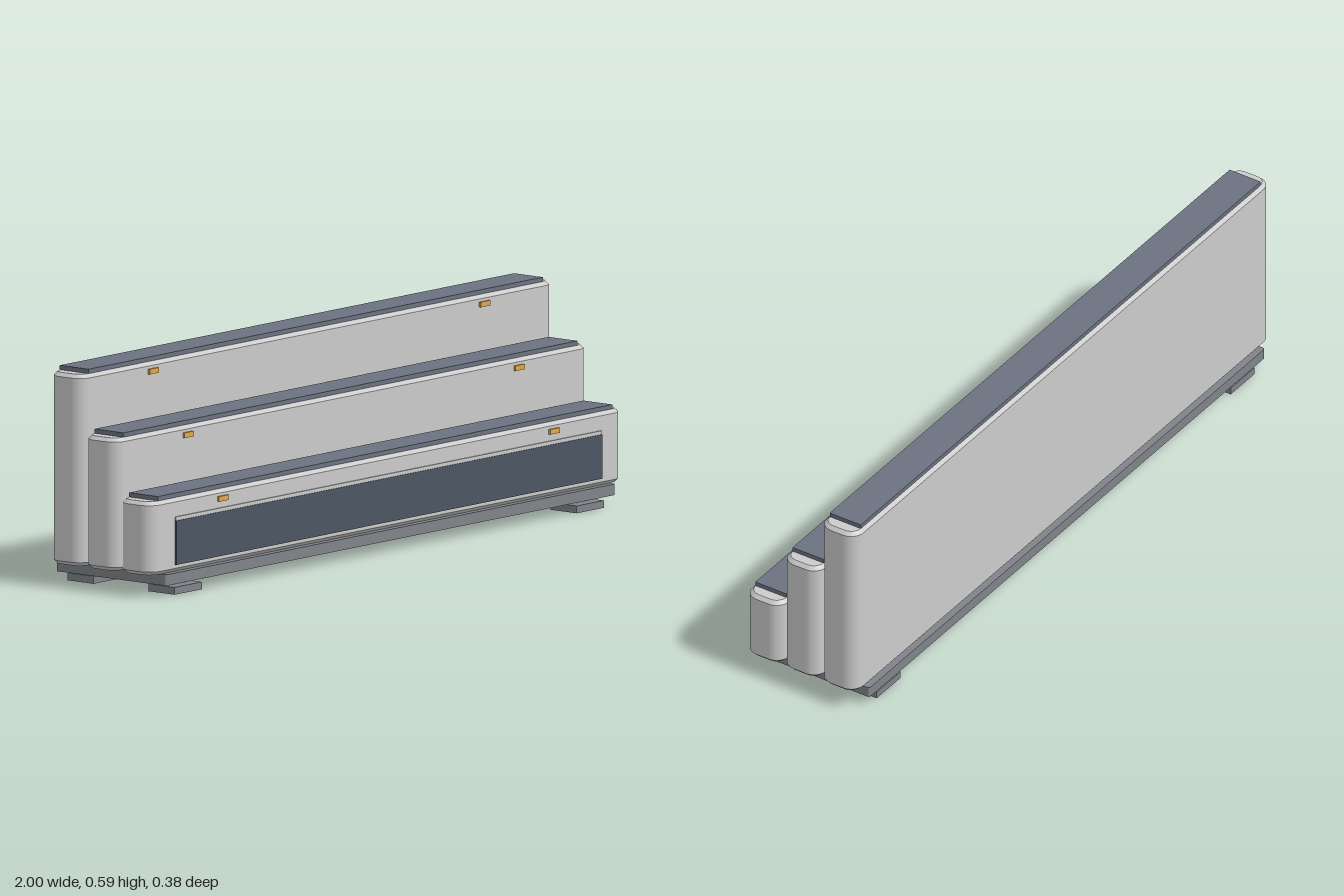
import * as THREE from 'three';

const mat = (color) => new THREE.MeshStandardMaterial({ color });
const shell = mat(0xcccccc), slate = mat(0x6b7280), dark = mat(0x4b5563);
const steel = mat(0x80848a), amber = mat(0xe0a84a);

export function createModel() {
  const root = new THREE.Group();

  const add = (name, geometry, material, x, y, z, parent = root) => {
    const mesh = new THREE.Mesh(geometry, material);
    mesh.name = name;
    mesh.position.set(x, y, z);
    parent.add(mesh);
    return mesh;
  };
  const box = (name, w, h, d, material, x, y, z, parent) =>
    add(name, new THREE.BoxGeometry(w, h, d), material, x, y, z, parent);

  // Upright slab: rounded plan extruded along y, chamfered top and bottom; origin at its bottom
  const slab = (w, h, d, r, bevel) => {
    const a = w / 2 - bevel, b = d / 2 - bevel;
    const s = new THREE.Shape();
    s.moveTo(-a + r, -b);
    s.absarc(a - r, -b + r, r, -Math.PI / 2, 0);
    s.absarc(a - r, b - r, r, 0, Math.PI / 2);
    s.absarc(-a + r, b - r, r, Math.PI / 2, Math.PI);
    s.absarc(-a + r, -b + r, r, Math.PI, Math.PI * 1.5);
    const g = new THREE.ExtrudeGeometry(s, {
      depth: h - 2 * bevel, curveSegments: 6,
      bevelEnabled: bevel > 0, bevelThickness: bevel, bevelSize: bevel, bevelSegments: 1,
    });
    return g.rotateX(-Math.PI / 2).translate(0, bevel, 0);
  };

  // Base plate
  add('basePlate', slab(1.9, 0.03, 0.38, 0.006, 0), steel, 0, 0.03, 0);

  // Three stepped tiers, lowest at the front
  [0.26, 0.42, 0.58].forEach((top, i) => {
    const tier = new THREE.Group();
    tier.name = 'tier' + (i + 1);
    root.add(tier);
    const z = 0.121 - i * 0.12;
    add('tierBody', slab(2, top - 0.06, 0.118, 0.03, 0.01), shell, 0, 0.06, z, tier);
    box('topStrip', 1.92, 0.012, 0.1, slate, 0, top + 0.006, z, tier);
    for (const x of [-0.7, 0.7])
      box('indicator', 0.04, 0.014, 0.008, amber, x, top - 0.025, z + 0.061, tier);
  });

  // Front panel with a slim lip along its upper edge
  box('frontPanel', 1.8, 0.12, 0.008, dark, 0, 0.14, 0.182);
  box('panelLip', 1.8, 0.01, 0.006, shell, 0, 0.205, 0.181);

  // Feet on short stems
  for (const x of [-0.85, 0.85]) {
    for (const z of [-0.14, 0.14]) {
      const foot = new THREE.Group();
      foot.name = 'foot';
      foot.position.set(x, 0, z);
      root.add(foot);
      box('footPad', 0.115, 0.02, 0.09, steel, 0, 0.01, 0, foot);
      for (const dx of [-0.02, 0.02])
        add('footStem', new THREE.CylinderGeometry(0.015, 0.015, 0.014, 12), shell, dx, 0.025, 0, foot);
    }
  }
  return root;
}
